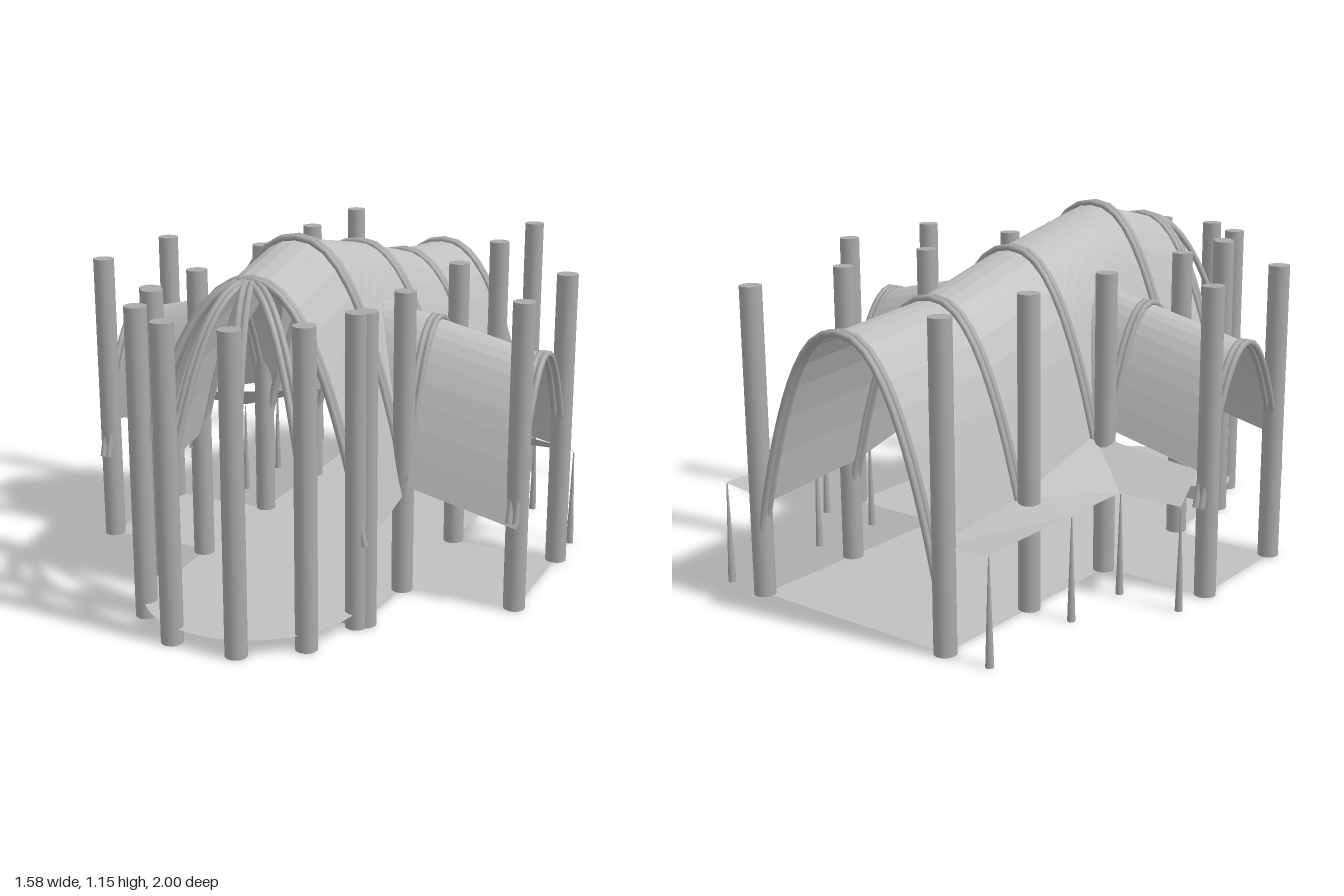
import * as THREE from 'three';

const stone = new THREE.MeshStandardMaterial({ color: 0xaaaaaa });
stone.name = 'column grey';
const cloth = new THREE.MeshStandardMaterial({ color: 0xc0c0c0, side: THREE.DoubleSide });
cloth.name = 'vault grey';

// ridge height of the nave along z
const ridge = [[-1, 0.895], [-0.965, 0.9], [-0.56, 0.935], [-0.15, 1.04], [0.315, 1.135], [0.635, 1.06], [1, 1.0]];
function ridgeY(z) {
  for (let i = 1; i < ridge.length; i++) {
    const [z0, y0] = ridge[i - 1], [z1, y1] = ridge[i];
    if (z <= z1) return y0 + (y1 - y0) * (z - z0) / (z1 - z0);
  }
  return 1;
}
const naveY = (x, z) => ridgeY(z) - 7.2 * Math.pow(Math.abs(x), 2.3);
const CZ = 0.08; // transept axis
const transeptY = (x, z) => 0.952 - 0.23 * Math.abs(x) - 7.3 * (z - CZ) ** 2;

// half width at which nave and transept vaults meet
function meetX(z) {
  let a = 0.05, b = 0.4;
  for (let i = 0; i < 30; i++) {
    const m = (a + b) / 2;
    if (naveY(m, z) > transeptY(m, z)) a = m; else b = m;
  }
  return Math.min(a, 0.385);
}

// faceted sheet from a point function f(i, j); flip reverses the winding
function sheet(nu, nv, f, flip) {
  const pos = [], idx = [];
  for (let i = 0; i <= nu; i++) for (let j = 0; j <= nv; j++) pos.push(...f(i, j));
  for (let i = 0; i < nu; i++) for (let j = 0; j < nv; j++) {
    const a = i * (nv + 1) + j, b = a + nv + 1;
    if (flip) idx.push(a, b + 1, b, a, a + 1, b + 1);
    else idx.push(a, b, b + 1, a, b + 1, a + 1);
  }
  let g = new THREE.BufferGeometry();
  g.setAttribute('position', new THREE.Float32BufferAttribute(pos, 3));
  g.setIndex(idx);
  g = g.toNonIndexed();
  g.computeVertexNormals();
  return g;
}

export function createModel() {
  const root = new THREE.Group();
  root.name = 'vaultedHall';
  const add = (geo, mat, name) => {
    const m = new THREE.Mesh(geo, mat);
    m.name = name;
    root.add(m);
    return m;
  };

  // floor: cross plan, raised apse floor and its step
  const plan = new THREE.Shape([
    [-0.375, 0.965], [0.375, 0.965], [0.375, 0.14], [0.755, 0.14], [0.755, -0.295], [0.375, -0.295],
    [0.355, -0.63], [-0.355, -0.63], [-0.375, -0.295], [-0.755, -0.295], [-0.755, 0.14], [-0.375, 0.14],
  ].map(([x, y]) => new THREE.Vector2(x, y)));
  add(new THREE.ShapeGeometry(plan).rotateX(-Math.PI / 2), cloth, 'floor');
  add(new THREE.CircleGeometry(0.357, 24, Math.PI, Math.PI).rotateX(-Math.PI / 2).translate(0, 0.052, 0.63), cloth, 'apseFloor');
  add(new THREE.PlaneGeometry(0.71, 0.052).translate(0, 0.026, 0.63), cloth, 'apseStep');

  // columns
  const columnGeo = new THREE.CylinderGeometry(0.035, 0.035, 1, 20).translate(0, 0.5, 0);
  const pegGeo = new THREE.CylinderGeometry(0.002, 0.013, 0.335, 8).translate(0, 0.1675, 0);
  const columns = [[0.375, -0.965], [0.375, -0.56], [0.375, -0.15], [0.372, 0.315], [0.37, 0.605], [0.35, 0.63],
    [0.28, 0.835], [0.11, 0.963], [0.755, -0.135], [0.75, 0.295]];
  const pegs = [[0.535, -0.96], [0.535, -0.56], [0.535, -0.295], [0.757, -0.297]];

  // row positions of the nave vault, finer across the transept
  const rows = [-0.985, -0.56, -0.1501];
  for (let i = 0; i <= 16; i++) rows.push(-0.15 + 0.465 * i / 16);
  rows.push(0.3151, 0.64);

  for (const s of [1, -1]) {
    const flip = s < 0;
    for (const [x, z] of columns) add(columnGeo, stone, 'column').position.set(s * x, 0, z);
    for (const [x, z] of pegs) add(pegGeo, stone, 'eavePeg').position.set(s * x, 0, z);

    // half of the nave vault
    const edge = z => z < -0.15 ? 0.335 : z <= 0.315 ? meetX(z) : s > 0 ? 0.383 : 0.36;
    add(sheet(rows.length - 1, 8, (i, j) => {
      const z = rows[i], x = edge(z) * j / 8;
      return [s * x, naveY(x, z), z];
    }, flip), cloth, 'naveVault');

    // transept vault, reaching lower on one front side
    const zFront = s > 0 ? 0.34 : 0.3;
    add(sheet(18, 4, (i, j) => {
      const z = -0.147 + (zFront + 0.147) * i / 18, x0 = meetX(z);
      const x = x0 + (0.765 - x0) * j / 4;
      return [s * x, transeptY(x, z), z];
    }, flip), cloth, 'transeptVault');

    // eaves along the nave and the back of the transept
    const eaveZ = [[-0.965, -0.965], [-0.56, -0.56], [-0.15, -0.3]];
    add(sheet(2, 1, (i, j) => {
      const z = eaveZ[i][j];
      return j ? [s * 0.535, 0.34, z] : [s * 0.335, naveY(0.335, z), z];
    }, flip), cloth, 'naveEave');
    add(sheet(1, 1, (i, j) => {
      if (i === 0) return [s * (j ? 0.757 : 0.535), 0.34, -0.3];
      return j ? [s * 0.725, transeptY(0.725, -0.147), -0.147] : [s * 0.335, naveY(0.335, -0.15), -0.15];
    }, flip), cloth, 'transeptEave');
  }

  // twin ribs following a path p(t, o), where o is the sideways offset
  const rib = (name, p, n) => {
    for (const o of [-0.011, 0.011]) {
      const pts = [];
      for (let i = 0; i <= n; i++) pts.push(new THREE.Vector3(...p(i / n, o)));
      add(new THREE.TubeGeometry(new THREE.CatmullRomCurve3(pts), n * 2, 0.011, 6), stone, name);
    }
  };

  for (const z of [-0.972, -0.56, -0.155, 0.318, 0.632]) {
    rib('naveRib', (t, o) => {
      const x = (t * 2 - 1) * 0.383;
      return [x, naveY(x, z) + 0.006, z + o];
    }, 16);
  }
  for (const s of [1, -1]) {
    for (const x of [0.385, 0.748]) {
      rib('transeptRib', (t, o) => {
        const z = CZ + (t * 2 - 1) * 0.258;
        return [s * x + o, transeptY(x, z) + 0.005, z];
      }, 16);
    }
    // apse ribs fan from the ridge to the front columns
    for (const [x, z] of [[0.28, 0.835], [0.11, 0.963]]) {
      const dx = x, dz = z - 0.635, l = Math.hypot(dx, dz);
      rib('apseRib', (t, o) => [
        s * (dx * t + o * dz / l), 1.06 - 0.56 * Math.pow(t, 2.3), 0.635 + dz * t - o * dx / l,
      ], 10);
    }
  }
  return root;
}
